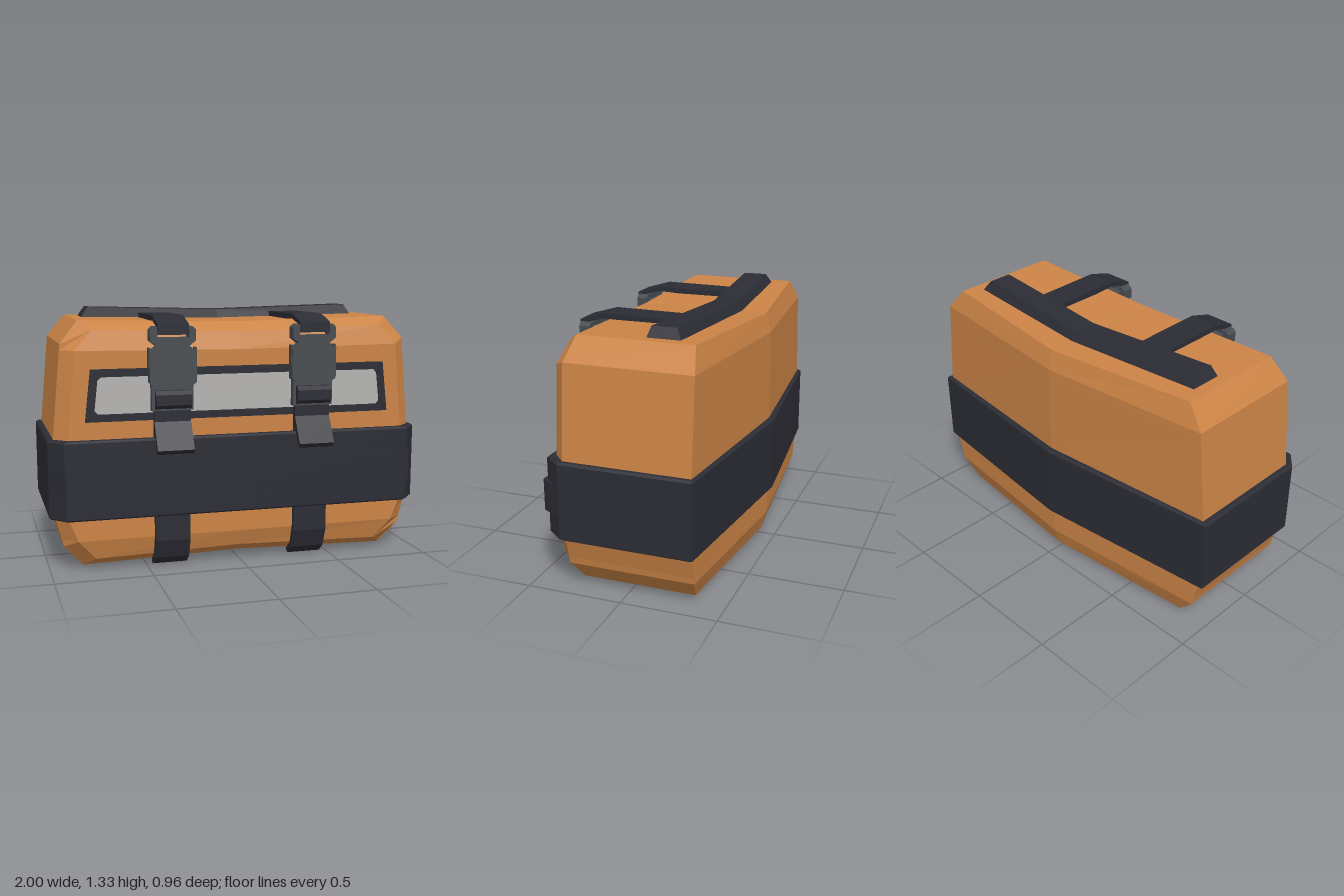
import * as THREE from 'three';

const mat = (name, color) => {
  const m = new THREE.MeshStandardMaterial({ color });
  m.name = name;
  return m;
};

// Flat-faced skin over closed rings of [x, y, z] points, capped at both ends
function loft(rings) {
  const pos = [], n = rings[0].length;
  const tri = (a, b, c) => pos.push(...a, ...b, ...c);
  for (let r = 0; r < rings.length - 1; r++) {
    for (let i = 0; i < n; i++) {
      const j = (i + 1) % n, lo = rings[r], hi = rings[r + 1];
      tri(lo[i], hi[i], lo[j]);
      tri(lo[j], hi[i], hi[j]);
    }
  }
  const first = rings[0], last = rings[rings.length - 1];
  for (let i = 1; i < n - 1; i++) {
    tri(first[0], first[i], first[i + 1]);
    tri(last[0], last[i + 1], last[i]);
  }
  const g = new THREE.BufferGeometry();
  g.setAttribute('position', new THREE.Float32BufferAttribute(pos, 3));
  g.computeVertexNormals();
  return g;
}

// Half outline (back middle, back corner, side, front corner, front middle) to full ring
const mirrorRing = (h) => [...h, ...[3, 2, 1].map((i) => [-h[i][0], h[i][1], h[i][2]])];

const polygon = (pts) => new THREE.Shape(pts.map(([x, y]) => new THREE.Vector2(x, y)));

// Side profile of [z, y] points, extruded to a width along x
function sideExtrude(pts, width) {
  const g = new THREE.ExtrudeGeometry(polygon(pts), { depth: width, bevelEnabled: false });
  return g.translate(0, 0, -width / 2).rotateY(-Math.PI / 2);
}

// Front outline of [x, y] points, extruded from z0 to z1
function frontExtrude(pts, z0, z1, hole) {
  const s = polygon(pts);
  if (hole) s.holes.push(polygon(hole));
  return new THREE.ExtrudeGeometry(s, { depth: z1 - z0, bevelEnabled: false }).translate(0, 0, z0);
}

// Right half of an outline, listed bottom to top, closed by its mirror
const mirrorOutline = (h) => [...h, ...h.slice().reverse().map(([x, y]) => [-x, y])];

export function createModel() {
  const root = new THREE.Group();
  root.name = 'bag';
  const orange = mat('orange canvas', 0xcc8446);
  const dark = mat('dark webbing', 0x2c2c35);
  const grey = mat('grey plastic', 0x484d51);
  const pale = mat('pale panel', 0xb5b4b2);
  const add = (parent, name, geo, m) => {
    const mesh = new THREE.Mesh(geo, m);
    mesh.name = name;
    parent.add(mesh);
    return mesh;
  };

  // Bag body: bevelled base, shoulders and a back that bows out in the middle
  const body = [
    [[0, 0.035, -0.42], [0.83, 0.02, -0.33], [0.83, 0.02, 0.27], [0.82, 0.02, 0.27], [0, 0.04, 0.27]],
    [[0, 0.135, -0.45], [0.93, 0.135, -0.36], [0.93, 0.135, 0.3], [0.77, 0.065, 0.335], [0, 0.085, 0.335]],
    [[0, 0.17, -0.45], [0.937, 0.17, -0.36], [0.937, 0.17, 0.3], [0.86, 0.17, 0.365], [0, 0.17, 0.365]],
    [[0, 0.29, -0.45], [0.97, 0.29, -0.36], [0.97, 0.29, 0.3], [0.91, 0.29, 0.365], [0, 0.29, 0.365]],
    [[0, 0.69, -0.45], [0.97, 0.69, -0.36], [0.97, 0.69, 0.3], [0.9, 0.69, 0.365], [0, 0.69, 0.365]],
    [[0, 1.14, -0.45], [0.928, 1.14, -0.36], [0.928, 1.14, 0.3], [0.86, 1.14, 0.365], [0, 1.13, 0.365]],
    [[0, 1.17, -0.45], [0.925, 1.17, -0.36], [0.925, 1.17, 0.3], [0.77, 1.24, 0.335], [0, 1.22, 0.335]],
    [[0, 1.268, -0.42], [0.83, 1.285, -0.33], [0.83, 1.285, 0.27], [0.82, 1.285, 0.27], [0, 1.268, 0.27]],
  ];
  add(root, 'bagBody', loft(body.map(mirrorRing)), orange);

  // Wide belt with softened rims
  const belt = (y, d) => mirrorRing([
    [0, y, -0.48 + d], [1 - d, y, -0.375 + d], [1 - d, y, 0.315], [0.925 - d, y, 0.405 - d], [0, y, 0.405 - d],
  ]);
  add(root, 'belt', loft([belt(0.283, 0.012), belt(0.292, 0), belt(0.682, 0), belt(0.692, 0.012)]), dark);

  // Raised strip across the belt front
  const strip = (y) => mirrorRing([
    [0, y, 0.25], [0.9, y, 0.25], [1, y, 0.315], [0.925, y, 0.43], [0, y, 0.43],
  ]);
  add(root, 'beltStrip', loft([strip(0.403), strip(0.567)]), dark);

  // Front window: dark frame and pale panel
  const frame = mirrorOutline([[0.815, 0.782], [0.785, 1.047]]);
  const pane = mirrorOutline([[0.75, 0.82], [0.767, 0.838], [0.75, 0.99], [0.732, 1.007]]);
  add(root, 'windowFrame', frontExtrude(frame, 0.364, 0.372, pane), dark);
  add(root, 'windowPanel', frontExtrude(pane, 0.364, 0.369), pale);

  // Bowed carry handle on top
  const handle = (x, topX, dy, dz) => [
    [x, 1.28 + dy, -0.06 + dz], [topX, 1.335 + dy, -0.075 + dz],
    [topX, 1.335 + dy, -0.205 + dz], [x, 1.28 + dy, -0.235 + dz],
  ];
  add(root, 'carryHandle', loft([
    handle(-0.77, -0.735, 0, 0), handle(0, 0, -0.022, -0.055), handle(0.77, 0.735, 0, 0),
  ]), dark);

  // Two closing straps with buckles
  for (const side of [-1, 1]) {
    const s = new THREE.Group();
    s.name = side > 0 ? 'leftStrap' : 'rightStrap';
    s.position.x = 0.375 * side;
    root.add(s);

    add(s, 'topStrap', sideExtrude([
      [-0.12, 1.26], [-0.12, 1.301], [0.3, 1.306], [0.435, 1.266], [0.435, 1.215],
      [0.41, 1.215], [0.41, 1.25], [0.3, 1.28],
    ], 0.16), dark);
    add(s, 'bottomStrap', sideExtrude([
      [0.35, 0.3], [0.388, 0.3], [0.388, 0.15], [0.35, 0.05], [0.295, 0.004],
      [0.27, 0.022], [0.33, 0.07], [0.362, 0.16],
    ], 0.185), dark);
    add(s, 'frontStrap', sideExtrude([
      [0.362, 0.68], [0.388, 0.68], [0.388, 0.86], [0.362, 0.86],
    ], 0.185), dark);
    add(s, 'strapTail', sideExtrude([
      [0.38, 0.76], [0.465, 0.618], [0.483, 0.64], [0.402, 0.775], [0.402, 0.86], [0.38, 0.86],
    ], 0.19), dark);
    add(s, 'strapLoop', sideExtrude([
      [0.395, 0.84], [0.422, 0.843], [0.441, 0.862], [0.441, 0.915], [0.422, 0.935], [0.395, 0.938],
    ], 0.185), dark);

    // Buckle: slotted upper frame, clasp, and lower strap adjuster
    add(s, 'buckleFrame', frontExtrude(
      mirrorOutline([[0.08, 1.14], [0.08, 1.155], [0.118, 1.185], [0.118, 1.24], [0.1, 1.256]]),
      0.365, 0.424,
      mirrorOutline([[0.08, 1.2], [0.08, 1.235]])), grey);
    add(s, 'buckleClasp', frontExtrude(
      mirrorOutline([[0.095, 0.955], [0.12, 0.975], [0.12, 1.13], [0.085, 1.157]]), 0.372, 0.426), grey);
    add(s, 'buckleAdjuster', frontExtrude(
      mirrorOutline([[0.108, 0.832], [0.108, 0.965]]), 0.368, 0.406), grey);
    for (const e of [-1, 1]) {
      add(s, 'buckleTab', new THREE.BoxGeometry(0.012, 0.1, 0.036)
        .translate(0.118 * e, 1.1, 0.396), grey);
    }
  }
  return root;
}
